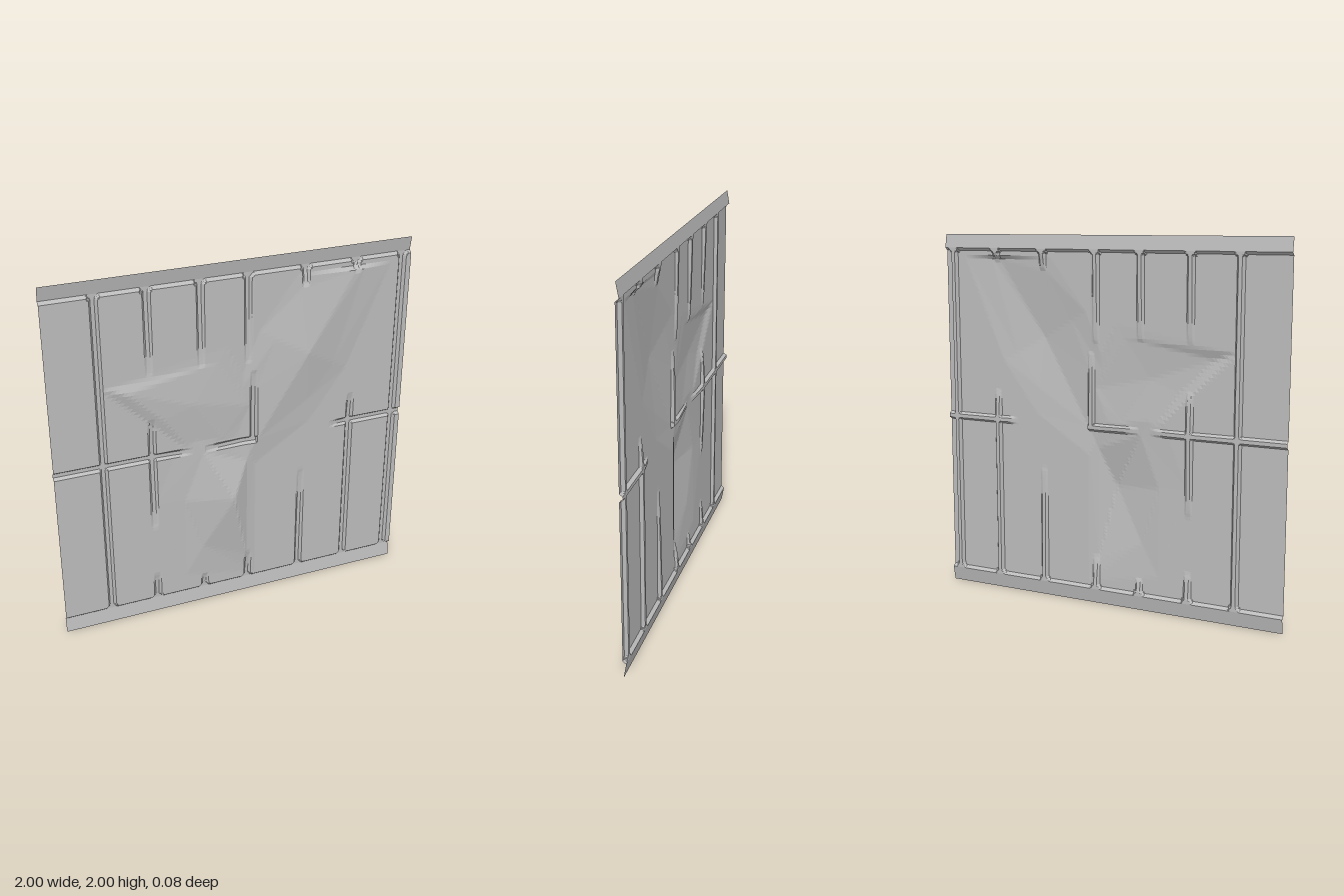
import * as THREE from 'three';

const PANEL = -0.022, GROOVE = -0.04, LIP = -0.026;
const V = (x, y, z) => new THREE.Vector3(x, y, z);
const clamp = THREE.MathUtils.clamp;

// Grooves that keep their depth: x of the tall ones
const tall = [-0.735, 0.95];
// Grooves that fade out: x, y where full depth, y where gone
const topCracks = [[-0.47, 1.46], [-0.19, 1.45], [0.07, 1.43], [0.39, 1.81], [0.68, 1.86]];
const bottomCracks = [[-0.47, 0.24], [-0.19, 0.17], [0.07, 0.26], [0.39, 0.73]];
const middleCracks = [[-0.47, 1.2], [-0.47, 0.55], [0.1, 1.39], [0.68, 1.14]];
const vertical = [
  ...tall.map((x) => [x, 0.08, 1.92, true]),
  [0.68, 0.08, 0.98, true],
  ...topCracks.map(([x, end]) => [x, 1.92, end]),
  ...bottomCracks.map(([x, end]) => [x, 0.08, end]),
  ...middleCracks.map(([x, end]) => [x, 0.98, end]),
];
// The seam at mid height: y, x where full depth, x where gone
const horizontal = [
  [0.98, -1, -0.47, true], [0.98, -0.47, -0.26], [0.98, 0.12, -0.18],
  [0.98, 0.68, 0.57], [0.98, 0.68, 1, true],
];
// Groove crossings where the panel corners are cut off
const columns = [-0.735, -0.47, -0.19, 0.07, 0.39, 0.68, 0.95];
const crossings = columns.flatMap((x) => [[x, 0.085], [x, 1.92]]);
for (const x of [-0.735, -0.47, 0.68, 0.95]) crossings.push([x, 0.98]);

// Facets of a dent: a fan from the apex to its ring, then a skirt down to the panel
function dent(apex, ring, spread) {
  const outer = ring.map((p) => {
    const q = apex.clone().lerp(p, spread);
    return V(q.x, clamp(q.y, 0.12, 1.88), PANEL);
  });
  return ring.flatMap((p, i) => {
    const j = (i + 1) % ring.length;
    return [[apex, p, ring[j]], [p, outer[i], outer[j]], [p, outer[j], ring[j]]];
  });
}

const lowerBulge = dent(V(-0.03, 0.66, 0.039), [
  V(0.06, 0.87, -0.01), V(-0.19, 0.96, -0.014), V(-0.3, 0.68, -0.017),
  V(-0.2, 0.37, -0.012), V(0.06, 0.25, -0.012),
], 1.6);
const upperLeftBulge = dent(V(-0.24, 1.26, -0.003), [
  V(0.05, 1.2, -0.014), V(-0.1, 1.47, -0.02), V(-0.6, 1.38, -0.004),
  V(-0.41, 1.2, -0.007), V(-0.25, 1.05, -0.017), V(-0.08, 1.03, -0.016),
], 1.35);
const upperRightRidge = dent(V(0.4, 1.45, 0.019), [
  V(0.12, 0.98, -0.01), V(0.42, 1.17, -0.014), V(0.56, 1.36, -0.01), V(0.72, 1.88, -0.008),
  V(0.67, 1.87, -0.004), V(0.36, 1.8, -0.018), V(0.22, 1.55, -0.008), V(0.12, 1.3, -0.014),
], 1.5);
const facets = [...lowerBulge, ...upperLeftBulge, ...upperRightRidge];

// Height of a facet at x, y, or the panel level outside of it
function facetHeight([a, b, c], x, y) {
  const d = (b.y - c.y) * (a.x - c.x) + (c.x - b.x) * (a.y - c.y);
  if (Math.abs(d) < 1e-6) return PANEL;
  const u = ((b.y - c.y) * (x - c.x) + (c.x - b.x) * (y - c.y)) / d;
  const v = ((c.y - a.y) * (x - c.x) + (a.x - c.x) * (y - c.y)) / d;
  const w = 1 - u - v;
  return Math.min(u, v, w) < -1e-6 ? PANEL : u * a.z + v * b.z + w * c.z;
}

// Groove strength from 0 to 1, across and along its run
function grooveDepth([pos, start, end, full], across, along) {
  const t = (along - start) / (end - start);
  if (t < -1e-6 || t > 1 + 1e-6) return 0;
  const fade = full ? 1 : Math.sqrt(clamp(1 - t, 0, 1));
  return fade * clamp(1 - (Math.abs(across - pos) - 0.01) / 0.012, 0, 1);
}

function sheetHeight(x, y) {
  const z = Math.max(PANEL, ...facets.map((f) => facetHeight(f, x, y)));
  const g = Math.max(
    (0.095 - y) / 0.015,
    (y - 1.91) / 0.015,
    ...vertical.map((v) => grooveDepth(v, x, y)),
    ...horizontal.map((h) => grooveDepth(h, y, x)),
    ...crossings.map(([cx, cy]) => 1 - (Math.abs(x - cx) + Math.abs(y - cy) - 0.03) / 0.012),
  );
  return z + (GROOVE - PANEL) * clamp(g, 0, 1);
}

// Grid lines: fine beside each groove, even elsewhere
function gridLines(from, to, centres, step) {
  const offsets = [0.01, 0.016, 0.022, 0.034].flatMap((o) => [-o, o]);
  const lines = [to, ...centres.flatMap((c) => [c, ...offsets.map((o) => c + o)])]
    .filter((v) => v > from && v <= to).sort((a, b) => a - b);
  const out = [from];
  for (const v of lines) {
    const last = out[out.length - 1], n = Math.ceil((v - last) / step - 1e-6);
    if (v - last < 0.003) continue;
    for (let i = 1; i <= n; i++) out.push(last + ((v - last) * i) / n);
  }
  out[out.length - 1] = to;
  return out;
}

// Flat-shaded sheet over a grid, facing +z
function sheet(xs, ys, height) {
  const pos = [], index = [], w = xs.length;
  for (const y of ys) for (const x of xs) pos.push(x, y, height(x, y));
  for (let j = 0; j < ys.length - 1; j++) {
    for (let i = 0; i < w - 1; i++) {
      const a = j * w + i;
      index.push(a, a + 1, a + w + 1, a, a + w + 1, a + w);
    }
  }
  const g = new THREE.BufferGeometry();
  g.setAttribute('position', new THREE.Float32BufferAttribute(pos, 3));
  g.setIndex(index);
  const flat = g.toNonIndexed();
  flat.computeVertexNormals();
  return flat;
}

export function createModel() {
  const group = new THREE.Group();
  group.name = 'dentedWallPanel';
  const metal = new THREE.MeshStandardMaterial({ color: 0xbcbcbc, side: THREE.DoubleSide });
  metal.name = 'grey metal';
  const add = (name, geometry) => {
    const mesh = new THREE.Mesh(geometry, metal);
    mesh.name = name;
    group.add(mesh);
  };

  // Grooved and dented plating
  const xs = gridLines(-1, 1, [...columns, 0.1], 0.02);
  const ys = gridLines(0.08, 1.925, [0.085, 0.98, 1.92], 0.02);
  add('platedSheet', sheet(xs, ys, sheetHeight));

  // Sloping lips along the bottom and top
  add('bottomLip', sheet([-1, 1], [0, 0.08], (x, y) => (y === 0 ? LIP : GROOVE)));
  add('topLip', sheet([-1, 1], [1.925, 2], (x, y) => (y === 2 ? LIP : GROOVE)));
  return group;
}
